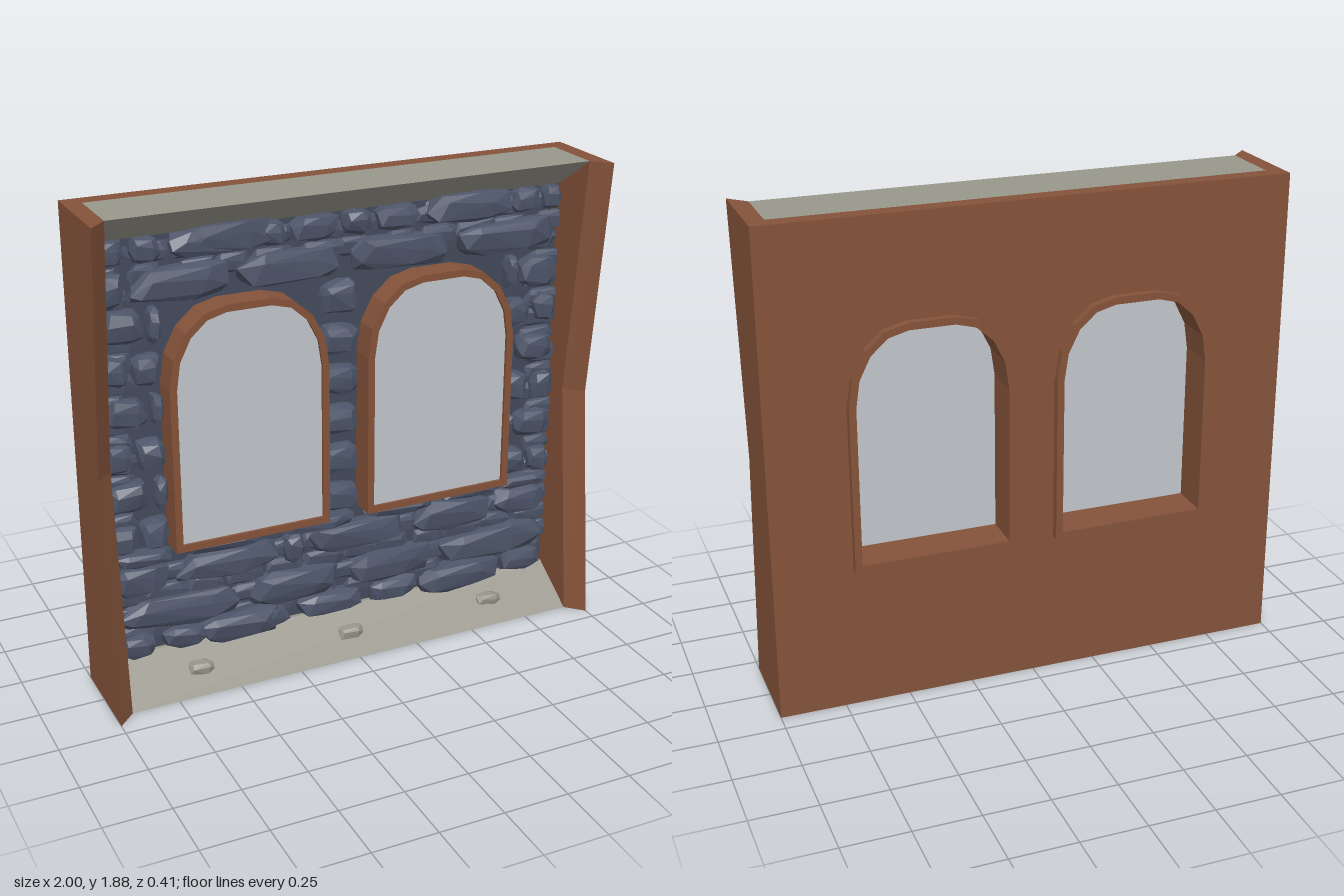
import * as THREE from 'three';
import { mergeGeometries } from 'three/addons/utils/BufferGeometryUtils.js';
import { ConvexGeometry } from 'three/addons/geometries/ConvexGeometry.js';

const H = 1.88, INNER = 0.935, WINDOW_X = 0.39;

const material = (name, color) => {
  const m = new THREE.MeshStandardMaterial({ color });
  m.name = name;
  return m;
};

// Small seeded generator for the stone shapes
let seed = 7;
const rand = () => {
  seed = (seed * 16807) % 2147483647;
  return seed / 2147483647;
};

// Arched window outline, inset by d: straight jambs, rounded shoulders, flat top
function archPoints(cx, d) {
  const half = 0.31 - d, rise = 0.293 - d, flat = 0.085;
  const right = [new THREE.Vector2(half, 0.56 + d)];
  for (let i = 0; i <= 4; i++) {
    const a = (i / 4) * Math.PI / 2;
    right.push(new THREE.Vector2(flat + (half - flat) * Math.cos(a), 1.2 + rise * Math.sin(a)));
  }
  const left = right.map(p => new THREE.Vector2(-p.x, p.y)).reverse();
  return [...right, ...left].map(p => p.setX(p.x + cx));
}

function extrude(shape, z0, z1) {
  const g = new THREE.ExtrudeGeometry(shape, { depth: z1 - z0, bevelEnabled: false });
  return g.translate(0, 0, z0);
}

// Flat panel with both window openings
function panel(y0, y1, z0, z1) {
  const s = new THREE.Shape();
  s.moveTo(-INNER, y0).lineTo(INNER, y0).lineTo(INNER, y1).lineTo(-INNER, y1);
  for (const side of [-1, 1]) s.holes.push(new THREE.Path(archPoints(side * WINDOW_X, 0.012)));
  return extrude(s, z0, z1);
}

// Side post: bevelled front edge that pinches in at mid height
function postGeometry(side) {
  const box = new THREE.BoxGeometry(0.065, H, 0.375, 1, 2, 1);
  const p = box.attributes.position;
  for (let i = 0; i < p.count; i++) {
    if (p.getZ(i) > 0) {
      const z = Math.abs(p.getY(i)) < 0.01 ? 0.1 : 0.2;
      p.setZ(i, p.getX(i) * side < 0 ? z - 0.065 : z);
    } else p.setZ(i, -0.175);
  }
  const g = box.toNonIndexed();
  g.computeVertexNormals();
  return g.translate(side * 0.9675, H / 2, 0);
}

// Angular boulder filling roughly w x h x d
function rock(x, y, z, w, h, d, count = 26) {
  const pts = [];
  const shear = (rand() - 0.5) * 0.25;
  for (let i = 0; i < count; i++) {
    const c = 1 - (2 * (i + 0.5)) / count, a = i * 2.39996 + rand() * 0.6;
    const r = Math.sqrt(1 - c * c);
    const v = [r * Math.cos(a), r * Math.sin(a), c].map(t => Math.sign(t) * Math.pow(Math.abs(t), 0.6));
    const j = 0.88 + rand() * 0.16;
    pts.push(new THREE.Vector3(
      x + v[0] * w / 2 * j,
      y + (v[1] + shear * v[0]) * h / 2 * j,
      z + v[2] * d / 2 * j));
  }
  return new ConvexGeometry(pts);
}

// Full-width courses: y, height, then the joints between stones
const COURSES = [
  [1.71, 0.1, -0.81, -0.68, -0.33, -0.21, 0, 0.13, 0.33, 0.71, 0.84],
  [1.575, 0.14, -0.82, -0.41, 0.02, 0.46],
  [0.53, 0.06, -0.68, -0.3, 0.08, 0.43, 0.7],
  [0.445, 0.13, -0.7, -0.25, -0.15, 0.3, 0.68],
  [0.285, 0.14, -0.4, 0.01, 0.42],
  [0.17, 0.1, -0.76, -0.56, -0.2, 0.11, 0.35, 0.71],
];

function stonesGeometry() {
  const list = [];
  const stone = (x0, x1, y, h) =>
    list.push(rock((x0 + x1) / 2, y, -0.066, x1 - x0 - 0.01, h, 0.1 + rand() * 0.035));
  for (const [y, h, ...joints] of COURSES) {
    const edges = [-INNER, ...joints, INNER];
    for (let i = 1; i < edges.length; i++) stone(edges[i - 1], edges[i], y, h);
  }
  // Large stones standing proud above and below the windows
  for (const y of [1.72, 0.165]) {
    list.push(rock(-0.43, y, -0.062, 0.37, 0.13, 0.14), rock(0.525, y, -0.062, 0.38, 0.13, 0.14));
  }
  // Courses between and beside the windows
  for (let i = 0; i < 6; i++) {
    const y = 0.62 + i * 0.162, h = 0.12 + rand() * 0.02;
    stone(-0.09, 0.085, y, h);
    for (const side of [-1, 1]) {
      const joint = i % 2 ? 0.755 : 0.82;
      for (const [a, b] of [[0.695, joint], [joint, INNER]]) {
        stone(Math.min(side * a, side * b), Math.max(side * a, side * b), y + (rand() - 0.5) * 0.02, h);
      }
    }
  }
  // Thin filler stones in the joints, kept clear of the windows
  for (let y = 0.21; y < 1.72; y += 0.078) {
    const beside = y > 0.5 && y < 1.54;
    for (let x = -0.88; x < 0.9; x += 0.16) {
      const w = 0.13 + rand() * 0.09, px = x + (rand() - 0.5) * 0.05;
      const fits = Math.abs(px) + w / 2 < 0.11 || Math.abs(px) - w / 2 > 0.68;
      if (!beside || fits) list.push(rock(px, y, -0.072, w, 0.08, 0.055, 16));
    }
  }
  return mergeGeometries(list);
}

// Sloped slab across the full width; its profile lies in (-z, y)
function slabGeometry() {
  const s = new THREE.Shape();
  s.moveTo(0.11, 0).lineTo(0.11, 0.128).lineTo(0.06, 0.128).lineTo(-0.135, 0);
  return extrude(s, -INNER, INNER).rotateY(Math.PI / 2);
}

export function createModel() {
  const model = new THREE.Group();
  model.name = 'wallWithWindows';
  const wood = material('brown', 0x85533a);
  const concrete = material('warmGrey', 0x99978c);
  const stone = material('slateBlue', 0x4d5569);
  const mortar = material('darkSlate', 0x434a5c);
  const glass = material('paleGlass', 0xc2c6cc);
  const add = (name, geometry, mat) => {
    const mesh = new THREE.Mesh(geometry, mat);
    mesh.name = name;
    model.add(mesh);
  };

  // Wall layers
  add('backPanel', panel(0, H, -0.175, -0.11), wood);
  add('mortarPanel', panel(0.1, H - 0.1, -0.11, -0.075), mortar);
  add('stones', stonesGeometry(), stone);

  // Floor and ceiling slabs
  add('floorSlab', slabGeometry(), concrete);
  add('ceilingSlab', slabGeometry().rotateZ(Math.PI).translate(0, H, 0), concrete);

  // Pebbles resting on the floor slope
  for (const x of [-0.625, 0, 0.625]) {
    add('pebble', rock(x, 0.067, 0.04, 0.11, 0.055, 0.06, 18), concrete);
  }

  for (const side of [-1, 1]) {
    add(side > 0 ? 'leftPost' : 'rightPost', postGeometry(side), wood);

    // Window frame runs through the wall, with the pane near its front
    const cx = side * WINDOW_X;
    const ring = new THREE.Shape(archPoints(cx, 0));
    ring.holes.push(new THREE.Path(archPoints(cx, 0.027)));
    add('windowFrame', extrude(ring, -0.205, 0.03), wood);
    add('windowPane', extrude(new THREE.Shape(archPoints(cx, 0.026)), -0.05, 0.018), glass);
  }
  return model;
}
